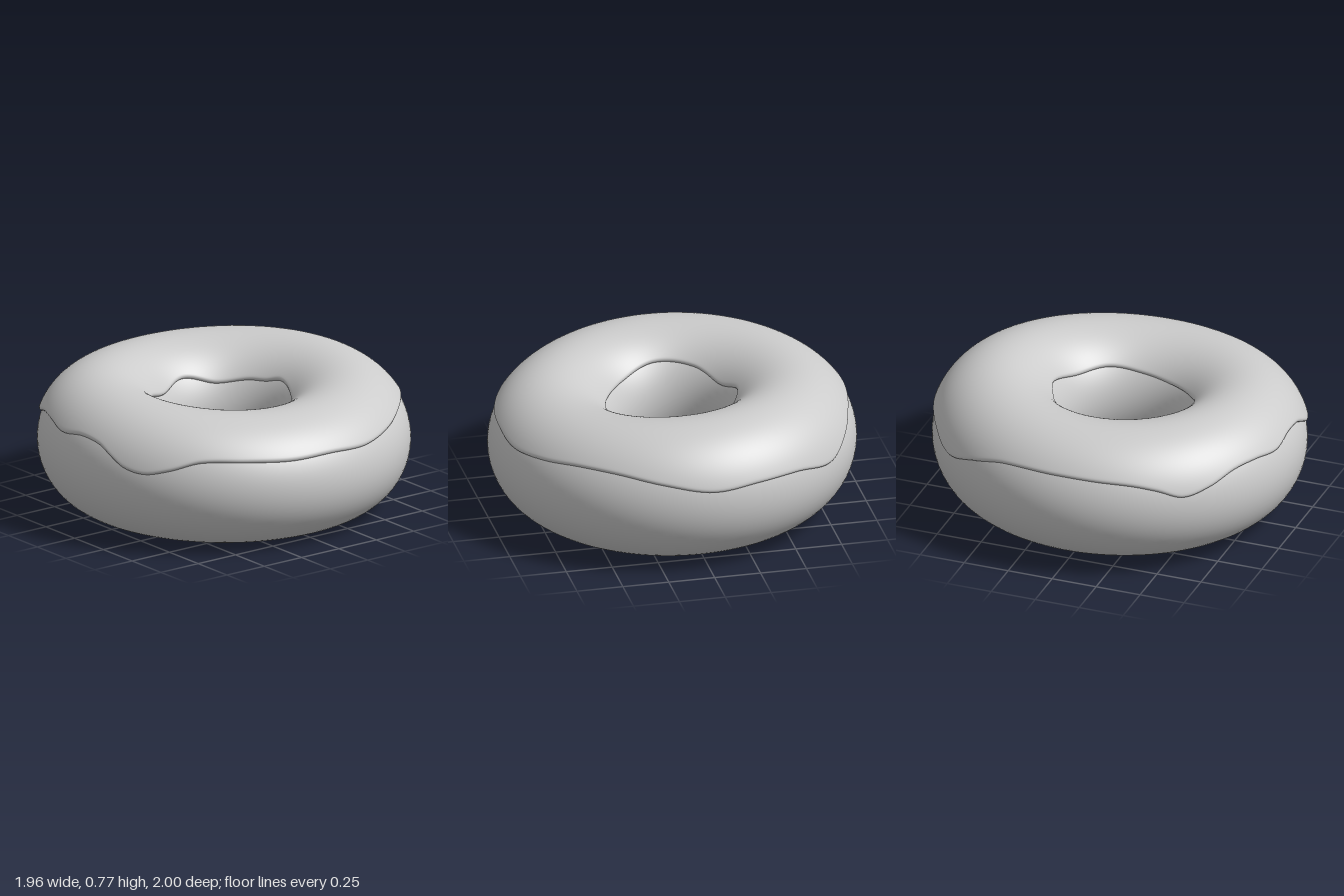
import * as THREE from 'three';

const T = 0.018; // icing thickness
const TAU = Math.PI * 2;

// Height of the icing's outer edge: [degrees from +x towards +z, y]
const outerEdge = [
  [0, .515], [15, .51], [30, .52], [45, .52], [55, .472], [63, .443], [70, .46], [75, .5], [81, .545],
  [90, .56], [100, .538], [110, .555], [120, .55], [130, .505], [139, .48], [147, .525], [155, .555],
  [165, .57], [180, .58], [200, .57], [212, .52], [225, .46], [240, .5], [255, .505], [270, .49],
  [285, .53], [300, .562], [315, .56], [330, .53], [345, .505], [360, .515],
];
// Height of the icing's edge inside the hole
const innerEdge = [
  [0, .55], [30, .54], [60, .56], [90, .61], [120, .6], [150, .56], [180, .6], [210, .56],
  [240, .58], [255, .585], [270, .605], [300, .57], [330, .575], [360, .55],
];

// Smooth periodic interpolation of an edge table (cubic Hermite)
function edgeHeight(table, theta) {
  const deg = THREE.MathUtils.radToDeg(theta);
  const n = table.length - 1;
  let i = 0;
  while (i < n - 1 && table[i + 1][0] <= deg) i++;
  const at = (k) => {
    const turn = Math.floor(k / n);
    const [d, y] = table[k - turn * n];
    return [d + turn * 360, y];
  };
  const [p0, p1, p2, p3] = [i - 1, i, i + 1, i + 2].map(at);
  const h = p2[0] - p1[0], t = (deg - p1[0]) / h;
  const m1 = (p2[1] - p0[1]) / (p2[0] - p0[0]) * h;
  const m2 = (p3[1] - p1[1]) / (p3[0] - p1[0]) * h;
  const t2 = t * t, t3 = t2 * t;
  return (2 * t3 - 3 * t2 + 1) * p1[1] + (t3 - 2 * t2 + t) * m1 + (3 * t2 - 2 * t3) * p2[1] + (t3 - t2) * m2;
}

// Slightly uneven elliptical cross-section of the dough at an angle round the ring
function section(theta) {
  const c = Math.cos(theta), s = Math.sin(theta);
  const inner = 0.29 + 0.03 * s * s + 0.01 * s;
  const outer = 0.98 + 0.02 * s * s;
  const top = 0.742 - 0.0285 * c - 0.01 * s - 0.013 * Math.cos(2 * theta) - T;
  const bottom = 0.014 - 0.014 * c;
  return { r: (inner + outer) / 2, a: (outer - inner) / 2, y: (top + bottom) / 2, b: (top - bottom) / 2 };
}

// Point on the section: phi = 0 outside, PI / 2 on top, PI in the hole
function ringPoint(theta, phi, offset) {
  const { r, a, y, b } = section(theta);
  const radius = r + (a + offset) * Math.cos(phi);
  return [radius * Math.cos(theta), y + (b + offset) * Math.sin(phi), radius * Math.sin(theta)];
}

// Surface that closes round the ring, and optionally round the section
function ringSurface(nu, nv, closeSection, point) {
  const positions = [], indices = [];
  for (let i = 0; i < nu; i++) {
    for (let j = 0; j < nv; j++) positions.push(...point(i / nu * TAU, j));
  }
  for (let i = 0; i < nu; i++) {
    for (let j = 0; j < (closeSection ? nv : nv - 1); j++) {
      const i2 = (i + 1) % nu, j2 = (j + 1) % nv;
      const a = i * nv + j, b = i * nv + j2, c = i2 * nv + j2, d = i2 * nv + j;
      indices.push(a, b, c, a, c, d);
    }
  }
  const geometry = new THREE.BufferGeometry();
  geometry.setAttribute('position', new THREE.Float32BufferAttribute(positions, 3));
  geometry.setIndex(indices);
  geometry.computeVertexNormals();
  return geometry;
}

export function createModel() {
  const group = new THREE.Group();
  group.name = 'donut';
  const material = new THREE.MeshStandardMaterial({ color: 0xcccccc });
  const icingMaterial = new THREE.MeshStandardMaterial({ color: 0xcccccc, side: THREE.DoubleSide });

  // Dough ring
  const dough = new THREE.Mesh(
    ringSurface(144, 64, true, (theta, j) => ringPoint(theta, j / 64 * TAU, 0)), material);
  dough.name = 'dough';
  group.add(dough);

  // Icing: distances from an edge where the lip is sampled closely
  const lip = [0, 0.0015, 0.004, 0.008, 0.013, 0.02, 0.03, 0.045];
  const middle = 36, count = lip.length * 2 + middle;
  const icingGeometry = ringSurface(240, count, false, (theta, j) => {
    const { y, b } = section(theta);
    const start = Math.asin((edgeHeight(outerEdge, theta) - y) / b);
    const end = Math.PI - Math.asin((edgeHeight(innerEdge, theta) - y) / b);
    const length = (end - start) * b;
    const last = lip[lip.length - 1];
    let d;
    if (j < lip.length) d = lip[j];
    else if (j >= count - lip.length) d = length - lip[count - 1 - j];
    else d = last + (length - 2 * last) * (j - lip.length + 1) / (middle + 1);
    // Rounded lip that rises from just under the dough
    const near = Math.min(d, length - d);
    const k = 1 - Math.min(near / T, 1);
    const offset = j === 0 || j === count - 1 ? -0.006 : T * Math.sqrt(1 - k * k);
    return ringPoint(theta, start + d / b, offset);
  });
  const icing = new THREE.Mesh(icingGeometry, icingMaterial);
  icing.name = 'icing';
  group.add(icing);

  return group;
}
